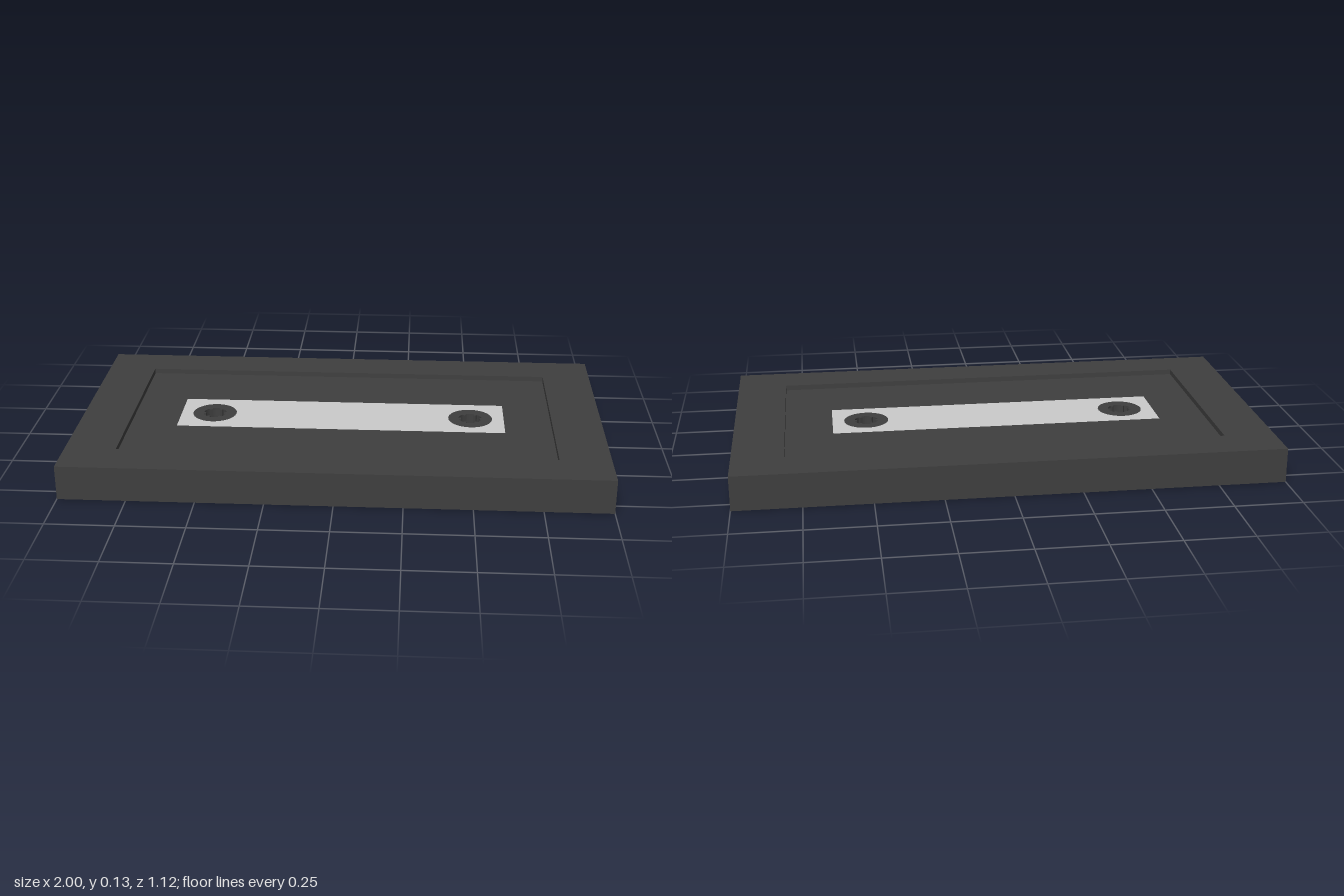
import * as THREE from 'three';

const H = 0.13, RECESS = 0.02;          // full thickness, depth of the sunk label area
const HUB_X = 0.5, HUB_R = 0.085;

const dark = new THREE.MeshStandardMaterial({ color: 0x3f3f3f });
const grey = new THREE.MeshStandardMaterial({ color: 0xcccccc });

function rect(w, d, Type = THREE.Shape) {
  return new Type([[-w, -d], [w, -d], [w, d], [-w, d]].map(([x, y]) => new THREE.Vector2(x, y)));
}

function circle(x, r) {
  const p = new THREE.Path();
  p.absarc(x, 0, r, 0, Math.PI * 2, true);
  return p;
}

// Extrudes a plan shape upwards between two heights
function slab(name, shape, y0, y1, material) {
  const geo = new THREE.ExtrudeGeometry(shape, { depth: y1 - y0, bevelEnabled: false, curveSegments: 32 });
  geo.rotateX(-Math.PI / 2).translate(0, y0, 0);
  const mesh = new THREE.Mesh(geo, material);
  mesh.name = name;
  return mesh;
}

// Round bore with short square drive teeth pointing inwards
function toothedBore(rOuter, rTip, teeth) {
  const pts = [];
  const step = (Math.PI * 2) / teeth, half = 0.14;
  for (let i = 0; i < teeth; i++) {
    const a = i * step;
    pts.push([rOuter, a - half], [rTip, a - half], [rTip, a + half], [rOuter, a + half]);
    for (let k = 1; k < 5; k++) pts.push([rOuter, a + half + (k / 5) * (step - 2 * half)]);
  }
  return new THREE.Path(pts.map(([r, a]) => new THREE.Vector2(r * Math.cos(a), r * Math.sin(a))));
}

export function createModel() {
  const model = new THREE.Group();
  model.name = 'cassette';
  const low = RECESS, high = H - RECESS;

  // Outer frame, full thickness
  const frame = rect(1, 0.56);
  frame.holes.push(rect(0.81, 0.4, THREE.Path));
  model.add(slab('outerFrame', frame, 0, H, dark));

  // Sunk panel on both faces, open for the window
  const panel = rect(0.81, 0.4);
  panel.holes.push(rect(0.63, 0.132, THREE.Path));
  model.add(slab('recessedPanel', panel, low, high, dark));

  // Window strip with a hole for each hub
  const strip = rect(0.63, 0.132);
  strip.holes.push(circle(-HUB_X, HUB_R), circle(HUB_X, HUB_R));
  model.add(slab('windowStrip', strip, low, high, grey));

  // Toothed hubs, open right through
  for (const side of [1, -1]) {
    const ring = new THREE.Shape();
    ring.absarc(0, 0, HUB_R, 0, Math.PI * 2, false);
    ring.holes.push(toothedBore(0.045, 0.036, 6));
    const hub = slab(side > 0 ? 'leftHub' : 'rightHub', ring, low, high, dark);
    hub.position.x = side * HUB_X;
    model.add(hub);
  }
  return model;
}
